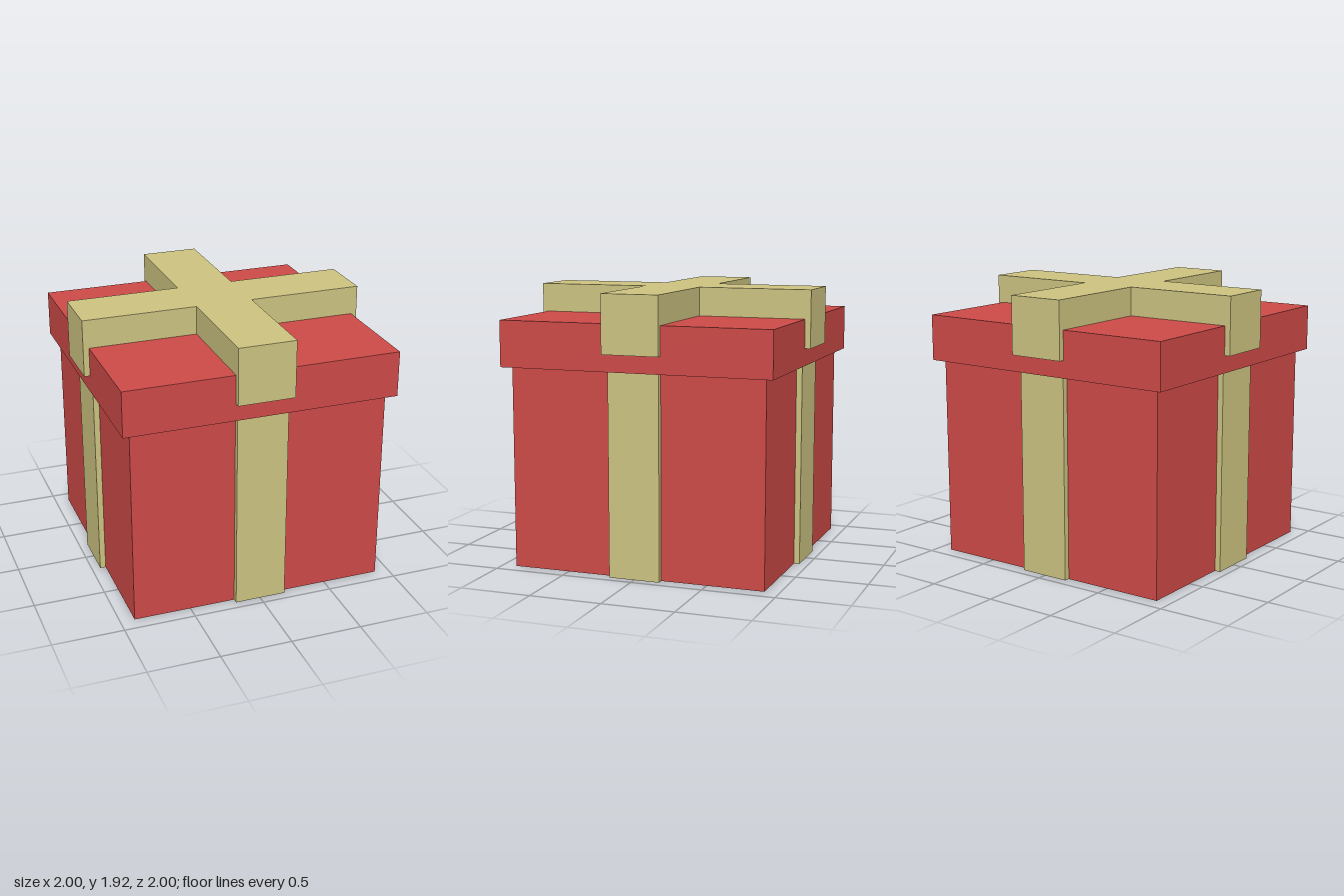
import * as THREE from 'three';

export function createModel() {
  const group = new THREE.Group();
  const red = new THREE.MeshStandardMaterial({ name: 'red paper', color: 0xcc4a47 });
  const gold = new THREE.MeshStandardMaterial({ name: 'gold ribbon', color: 0xcbc280 });

  // Box spanning y0..y1, centred on x and z
  function addBox(name, width, depth, y0, y1, material) {
    const mesh = new THREE.Mesh(new THREE.BoxGeometry(width, y1 - y0, depth), material);
    mesh.name = name;
    mesh.position.y = (y0 + y1) / 2;
    group.add(mesh);
  }

  addBox('giftBox', 1.8, 1.8, 0.001, 1.4, red);
  addBox('lid', 1.92, 1.92, 1.4, 1.72, red);

  // Ribbons around the box; only the sideways one shows across the underside
  addBox('sidewaysRibbon', 1.88, 0.36, 0, 1.4, gold);
  addBox('lengthwiseRibbon', 0.36, 1.88, 0.002, 1.4, gold);

  // Raised cross-shaped ribbon over the lid
  const w = 0.2, r = 1;
  const outline = [
    [w, w], [w, r], [-w, r], [-w, w], [-r, w], [-r, -w],
    [-w, -w], [-w, -r], [w, -r], [w, -w], [r, -w], [r, w],
  ].map(([x, y]) => new THREE.Vector2(x, y));
  const crossGeometry = new THREE.ExtrudeGeometry(new THREE.Shape(outline), {
    depth: 0.4, bevelEnabled: false,
  });
  crossGeometry.rotateX(-Math.PI / 2);
  const lidRibbon = new THREE.Mesh(crossGeometry, gold);
  lidRibbon.name = 'lidRibbon';
  lidRibbon.position.y = 1.52;
  group.add(lidRibbon);

  return group;
}
